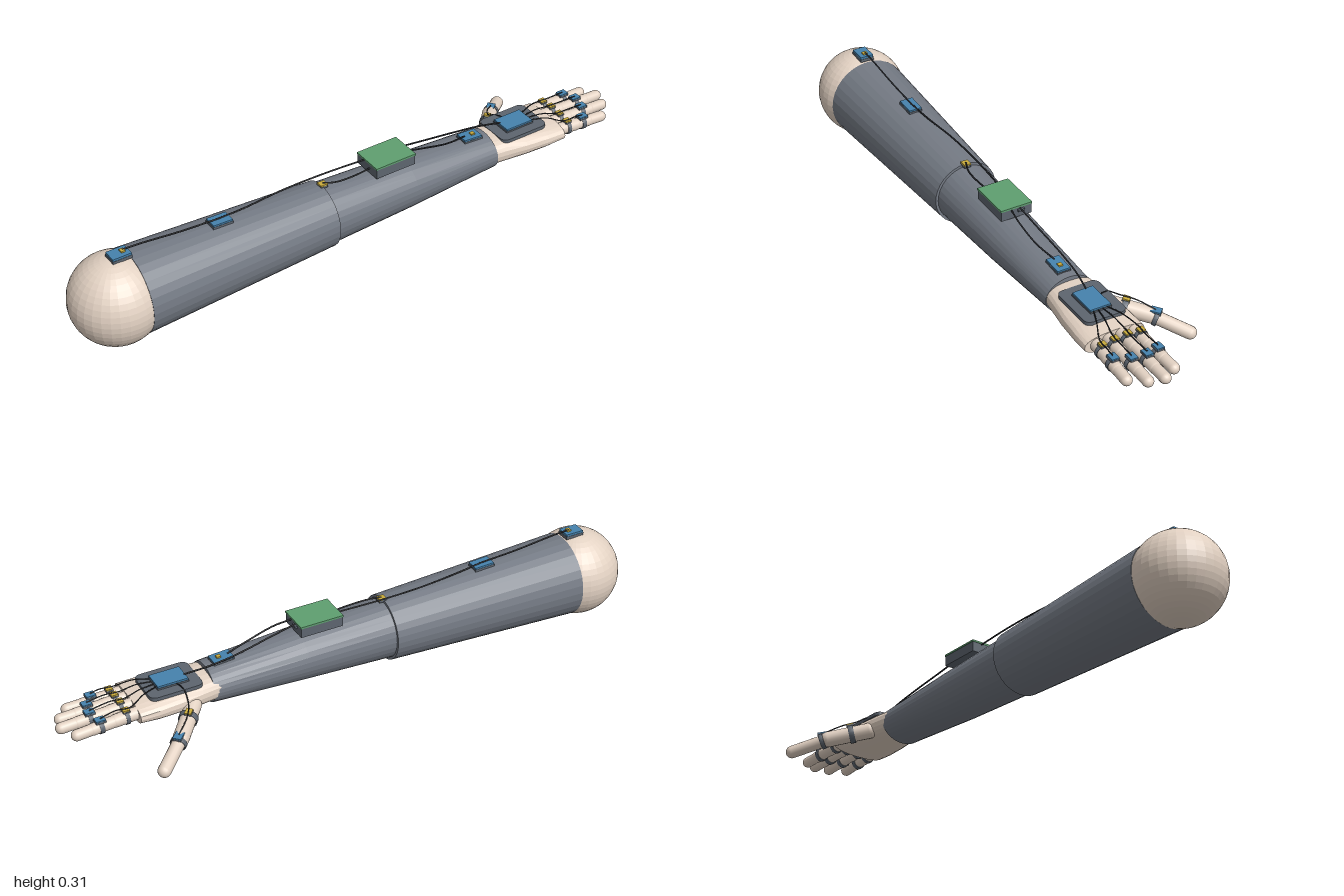
import * as THREE from 'three';

const mat = (color, flatShading = false) => {
  const m = new THREE.MeshStandardMaterial({ color });
  m.flatShading = flatShading;
  return m;
};
const skin = mat(0xe3d2c3), skinFlat = mat(0xe3d2c3, true), cloth = mat(0x747a84, true);
const grey = mat(0x5d656f), blue = mat(0x4682ad), green = mat(0x5f9f70);
const yellow = mat(0xc9ab3c), black = mat(0x25272b);
const V = (x, y, z) => new THREE.Vector3(x, y, z);
const UP = V(0, 1, 0);

function add(parent, name, geometry, material, pos = V(0, 0, 0)) {
  const m = new THREE.Mesh(geometry, material);
  m.name = name;
  m.position.copy(pos);
  parent.add(m);
  return m;
}

// Elliptical loft along x; stations are [x, centreY, centreZ, halfY, halfZ]
function loft(stations, sides, power = 1) {
  const n = stations.length - 1;
  const g = new THREE.CylinderGeometry(1, 1, 1, sides, n);
  const p = g.attributes.position;
  const shape = (v) => Math.sign(v) * Math.pow(Math.abs(v), power);
  for (let i = 0; i < p.count; i++) {
    const [x, cy, cz, hy, hz] = stations[Math.round((p.getY(i) + 0.5) * n)];
    p.setXYZ(i, x, cy - shape(p.getX(i)) * hy, cz + shape(p.getZ(i)) * hz);
  }
  g.computeVertexNormals();
  return g;
}

// Rounded limb between two points
function limb(parent, name, a, b, r) {
  const d = b.clone().sub(a);
  const m = add(parent, name, new THREE.CapsuleGeometry(r, d.length(), 6, 16), skin,
    a.clone().add(b).multiplyScalar(0.5));
  m.quaternion.setFromUnitVectors(UP, d.normalize());
}

// Strap around a limb
function strap(parent, name, pos, dir, r, width) {
  const w = width / 2, t = 0.003;
  const profile = [[r, -w], [r + t, -w], [r + t, w], [r, w], [r, -w]].map(([x, y]) => new THREE.Vector2(x, y));
  const m = add(parent, name, new THREE.LatheGeometry(profile, 20), grey, pos);
  m.quaternion.setFromUnitVectors(UP, dir);
}

function cable(parent, name, points, r = 0.0028) {
  const curve = new THREE.CatmullRomCurve3(points.map((p) => V(...p)));
  add(parent, name, new THREE.TubeGeometry(curve, 40, r, 6), black);
}

// Sensor: case with a coloured board on top
function sensor(parent, name, pos, [sx, sy, sz], top, tilt = 0, yaw = 0) {
  const g = new THREE.Group();
  g.name = name;
  g.position.copy(pos);
  g.rotation.set(0, yaw, tilt, 'YZX');
  add(g, name + 'Case', new THREE.BoxGeometry(sx, sy * 0.6, sz), grey, V(0, -sy * 0.2, 0));
  add(g, name + 'Board', new THREE.BoxGeometry(sx * 0.96, sy * 0.4, sz * 0.96), top, V(0, sy * 0.3, 0));
  parent.add(g);
  return g;
}

export function createModel() {
  const arm = new THREE.Group();
  arm.name = 'sensorArm';
  const CY = 0.147, CZ = 0.07;

  // Shoulder and sleeves
  add(arm, 'shoulder', new THREE.SphereGeometry(0.146, 32, 24), skinFlat, V(-0.854, 0.146, CZ));
  add(arm, 'upperSleeve', loft([[-0.8, CY, CZ, 0.137, 0.137], [-0.125, CY, CZ, 0.108, 0.108]], 32), cloth);
  add(arm, 'lowerSleeve', loft([[-0.14, CY, CZ, 0.1, 0.1], [0.18, CY, CZ, 0.084, 0.091],
    [0.5, CY, 0.068, 0.061, 0.08]], 32), cloth);

  // Wrist and palm
  add(arm, 'palm', loft([[0.47, 0.15, 0.066, 0.044, 0.076], [0.54, 0.15, 0.066, 0.044, 0.085],
    [0.61, 0.15, 0.067, 0.041, 0.095], [0.69, 0.15, 0.068, 0.037, 0.101],
    [0.755, 0.151, 0.069, 0.03, 0.102]], 24, 0.8), skinFlat);

  // Fingers with straps, sensors and wires: [base z, tip z, tip y, tip x, middle sensor x]
  const fingers = [[0.005, -0.004, 0.147, 0.97, 0.875], [0.048, 0.045, 0.152, 1.0, 0.89],
    [0.091, 0.093, 0.149, 0.985, 0.88], [0.131, 0.139, 0.144, 0.945, 0.85]];
  fingers.forEach(([z0, z1, y1, x1, xs], i) => {
    const f = new THREE.Group();
    f.name = 'finger' + (i + 1);
    arm.add(f);
    const r = 0.018, a = V(0.745, y1 + 0.009, z0), b = V(x1 - r, y1, z1);
    const dir = b.clone().sub(a).normalize();
    const at = (x) => a.clone().lerp(b, (x - a.x) / (b.x - a.x));
    limb(f, 'baseSegment', a, at(0.825), 0.0205);
    limb(f, 'middleSegment', at(0.825), at(x1 - 0.07), 0.0192);
    limb(f, 'tipSegment', at(x1 - 0.07), b, r);
    strap(f, 'baseStrap', at(0.79), dir, 0.0205, 0.012);
    strap(f, 'middleStrap', at(xs), dir, 0.0192, 0.014);
    const p = at(0.79), q = at(xs);
    sensor(f, 'bendSensor', V(p.x, p.y + 0.024, p.z), [0.022, 0.01, 0.022], yellow);
    sensor(f, 'tipSensor', V(q.x, q.y + 0.023, q.z), [0.032, 0.01, 0.026], blue);
    cable(f, 'fingerWire', [[0.665, 0.2, 0.045 + i * 0.014], [0.72, 0.2, (0.045 + i * 0.014 + p.z) / 2],
      [0.775, p.y + 0.03, p.z], [0.82, p.y + 0.031, p.z + 0.004], [q.x, q.y + 0.029, q.z]], 0.002);
  });

  // Thumb
  const thumb = new THREE.Group();
  thumb.name = 'thumb';
  arm.add(thumb);
  const t0 = V(0.575, 0.135, -0.012), t1 = V(0.665, 0.107, -0.115), t2 = V(0.757, 0.072, -0.195);
  limb(thumb, 'thumbBase', t0, t1, 0.026);
  limb(thumb, 'thumbTip', t1, t2, 0.021);
  const tdir = t1.clone().sub(t0).normalize();
  strap(thumb, 'thumbBaseStrap', t0.clone().lerp(t1, 0.42), tdir, 0.027, 0.018);
  strap(thumb, 'thumbTipStrap', t1.clone().lerp(t2, 0.15), t2.clone().sub(t1).normalize(), 0.023, 0.014);
  sensor(thumb, 'thumbBendSensor', V(0.613, 0.152, -0.062), [0.024, 0.01, 0.022], yellow, -0.2, 0.8);
  sensor(thumb, 'thumbTipSensor', V(0.677, 0.125, -0.126), [0.034, 0.01, 0.028], blue, -0.1, 0.75);
  cable(thumb, 'thumbWire', [[0.61, 0.2, 0.034], [0.6, 0.195, 0], [0.605, 0.168, -0.045],
    [0.63, 0.152, -0.085], [0.677, 0.13, -0.126]], 0.002);

  // Back-of-hand plate and its module
  const plate = new THREE.Shape();
  const w = 0.088, h = 0.07, c = 0.025;
  plate.moveTo(-w + c, -h).lineTo(w - c, -h).quadraticCurveTo(w, -h, w, -h + c)
    .lineTo(w, h - c).quadraticCurveTo(w, h, w - c, h).lineTo(-w + c, h)
    .quadraticCurveTo(-w, h, -w, h - c).lineTo(-w, -h + c).quadraticCurveTo(-w, -h, -w + c, -h);
  const plateGeo = new THREE.ExtrudeGeometry(plate, { depth: 0.012, bevelEnabled: false }).rotateX(-Math.PI / 2);
  add(arm, 'handPlate', plateGeo, grey, V(0.62, 0.183, 0.064));
  sensor(arm, 'handModule', V(0.62, 0.199, 0.065), [0.105, 0.015, 0.073], blue);

  // Sensors along the sleeve
  sensor(arm, 'shoulderSensor', V(-0.832, 0.297, CZ), [0.065, 0.018, 0.047], blue);
  add(arm, 'shoulderConnector', new THREE.BoxGeometry(0.014, 0.008, 0.016), yellow, V(-0.82, 0.307, CZ));
  sensor(arm, 'upperArmSensor', V(-0.49, 0.275, CZ), [0.07, 0.014, 0.046], blue, -0.043);
  sensor(arm, 'elbowSensor', V(-0.122, 0.256, CZ), [0.026, 0.012, 0.024], yellow, -0.04);
  sensor(arm, 'wristSensor', V(0.44, 0.214, CZ), [0.07, 0.014, 0.046], blue, -0.06);
  add(arm, 'wristConnector', new THREE.BoxGeometry(0.014, 0.006, 0.014), yellow, V(0.45, 0.222, CZ));

  // Control box
  const box = new THREE.Group();
  box.name = 'controlBox';
  box.position.set(0.118, 0.24, CZ - 0.002);
  arm.add(box);
  add(box, 'boxCase', new THREE.BoxGeometry(0.145, 0.034, 0.106), grey, V(0, 0.016, 0));
  add(box, 'boxBoard', new THREE.BoxGeometry(0.148, 0.006, 0.109), green, V(0, 0.035, 0));
  add(box, 'boxSocket', new THREE.BoxGeometry(0.01, 0.008, 0.022), grey, V(0.075, 0.023, -0.015));

  // Cable runs
  cable(arm, 'shoulderCable', [[-0.82, 0.31, 0.068], [-0.76, 0.306, 0.068], [-0.62, 0.291, 0.068], [-0.49, 0.283, 0.068]]);
  cable(arm, 'upperArmCable', [[-0.49, 0.283, 0.068], [-0.4, 0.277, 0.06], [-0.25, 0.274, 0.045],
    [-0.1, 0.272, 0.043], [0.05, 0.27, 0.05]]);
  cable(arm, 'elbowCable', [[-0.122, 0.262, 0.07], [-0.08, 0.258, 0.084], [-0.01, 0.256, 0.086], [0.05, 0.256, 0.08]]);
  cable(arm, 'wristCable', [[0.19, 0.268, 0.085], [0.25, 0.258, 0.091], [0.34, 0.236, 0.086], [0.42, 0.223, 0.07]]);
  cable(arm, 'handCable', [[0.19, 0.268, 0.055], [0.28, 0.252, 0.05], [0.4, 0.23, 0.042],
    [0.5, 0.216, 0.044], [0.575, 0.206, 0.055]]);
  return arm;
}
